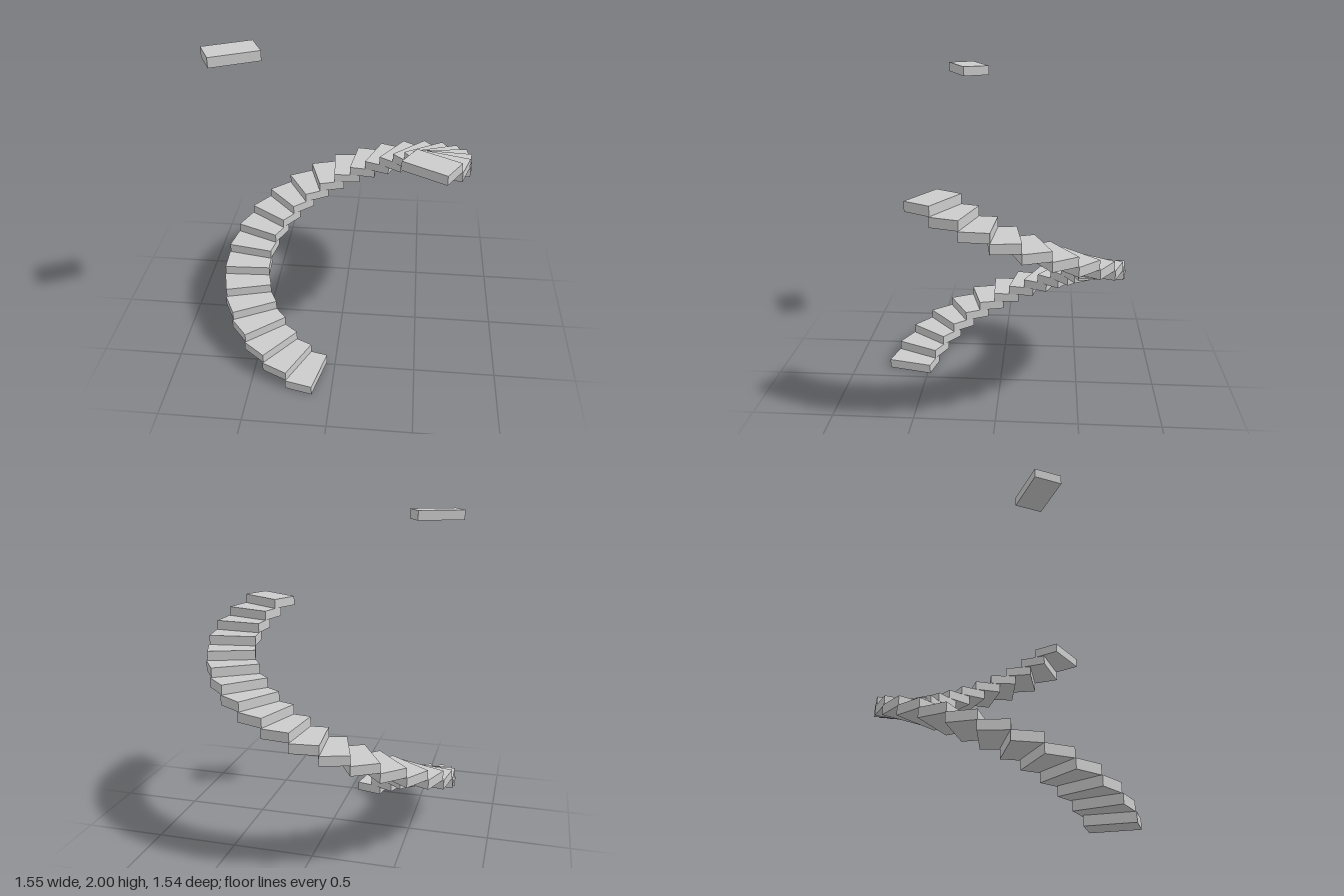
import * as THREE from 'three';

export function createModel() {
  const group = new THREE.Group();
  group.name = 'spiralStair';
  const material = new THREE.MeshStandardMaterial({ color: 0xcccccc, flatShading: true });

  const total = 34;              // steps in the full climb
  const rise = 2 / total;        // each tread is as thick as one rise
  const inner = 0.481, outer = 0.771;
  const back = -0.056, front = 0.115; // tread edges along the walking direction
  const startAngle = 12.8, turn = 12.46; // degrees

  // One tread, placed off the pivot so it only needs turning and lifting
  const tread = new THREE.BoxGeometry(front - back, rise, outer - inner);
  tread.translate(-(front + back) / 2, rise / 2, (inner + outer) / 2);

  const addStep = (i, name) => {
    const step = new THREE.Mesh(tread, material);
    step.name = name;
    step.position.y = i * rise;
    step.rotation.y = -THREE.MathUtils.degToRad(startAngle + i * turn);
    group.add(step);
  };

  // Continuous flight, then a gap, then the single floating top step
  for (let i = 0; i < 24; i++) addStep(i, `step${i + 1}`);
  addStep(total - 1, 'topStep');

  return group;
}
